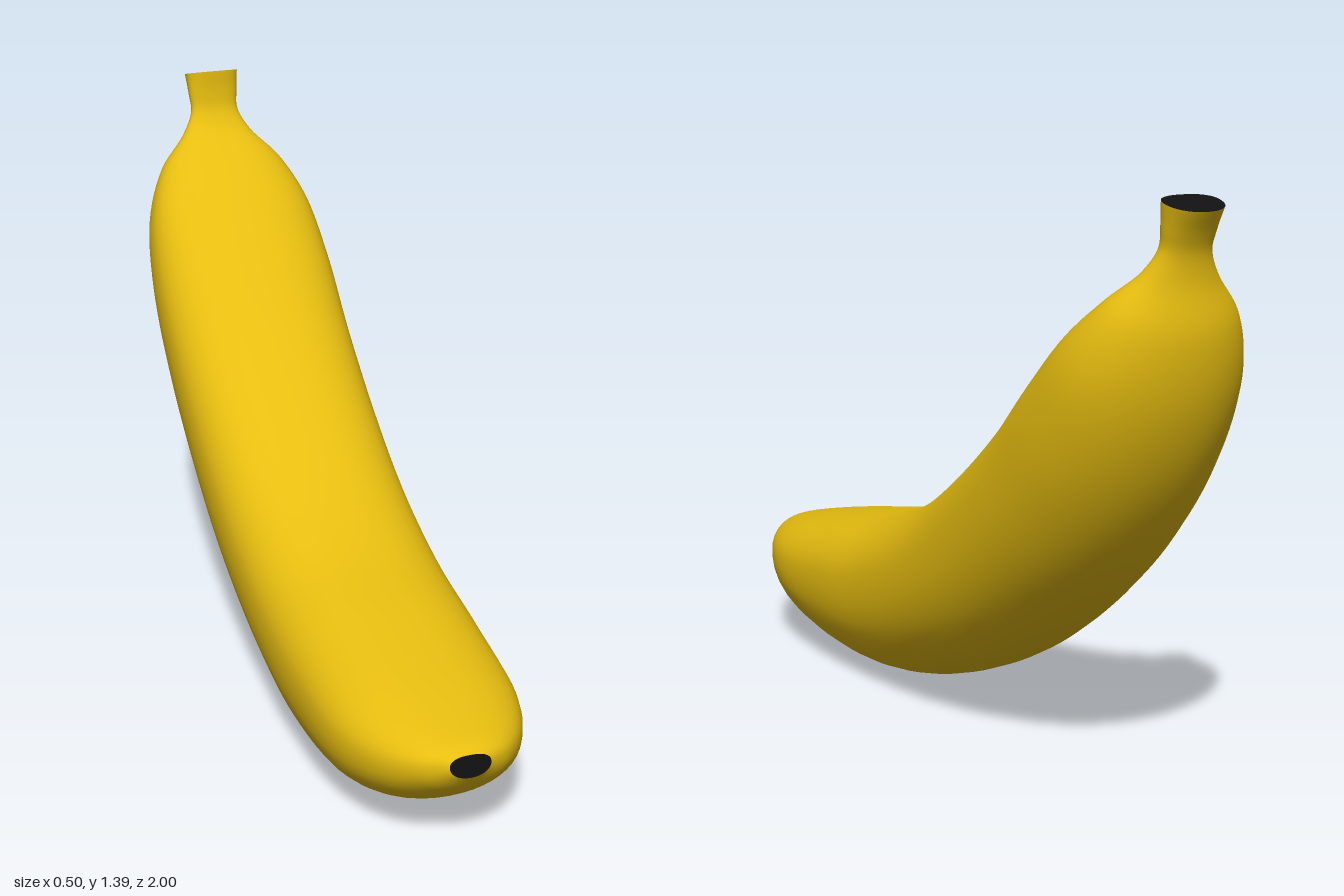
import * as THREE from 'three';

// Stations from blossom tip to stem: [upper z, upper y, lower z, lower y, half width]
const STATIONS = [
  [0.99, 0.288, 1.0, 0.235, 0.05],
  [0.955, 0.303, 0.955, 0.18, 0.115],
  [0.88, 0.322, 0.86, 0.105, 0.18],
  [0.75, 0.352, 0.7, 0.04, 0.232],
  [0.5, 0.405, 0.4, 0.003, 0.25],
  [0.25, 0.46, 0.12, 0.04, 0.25],
  [0, 0.56, -0.2, 0.16, 0.25],
  [-0.2, 0.685, -0.45, 0.312, 0.25],
  [-0.4, 0.835, -0.68, 0.51, 0.25],
  [-0.57, 0.99, -0.84, 0.72, 0.246],
  [-0.7, 1.105, -0.93, 0.92, 0.222],
  [-0.8, 1.18, -0.957, 1.08, 0.168],
  [-0.865, 1.235, -0.945, 1.2, 0.095],
  [-0.893, 1.285, -0.95, 1.265, 0.066],
  [-0.9, 1.335, -0.968, 1.31, 0.068],
  [-0.9, 1.39, -0.999, 1.362, 0.073],
];
const RINGS = 90;
const SIDES = 40;

// One cross-section: flatter on the upper side, rounder below
function ring(upper, lower) {
  const points = [];
  const middle = lower.clone().lerp(upper, 0.57).setX(0);
  const top = upper.clone().setX(0);
  for (let j = 0; j < SIDES; j++) {
    const a = (j / SIDES) * Math.PI * 2;
    const c = Math.cos(a), s = Math.sin(a);
    const power = s > 0 ? 0.82 : 0.95;
    const p = middle.clone().lerp(s > 0 ? top : lower, Math.abs(s) ** power);
    p.x = Math.sign(c) * Math.abs(c) ** power * upper.x;
    points.push(p);
  }
  return points;
}

function surface(points, index) {
  const geometry = new THREE.BufferGeometry().setFromPoints(points);
  geometry.setIndex(index);
  geometry.computeVertexNormals();
  return geometry;
}

// Flat end closing a ring
function capGeometry(points, flip) {
  const centre = points.reduce((sum, p) => sum.add(p), new THREE.Vector3()).divideScalar(SIDES);
  const index = [];
  for (let j = 0; j < SIDES; j++) {
    const k = (j + 1) % SIDES;
    index.push(SIDES, flip ? k : j, flip ? j : k);
  }
  return surface([...points, centre], index);
}

export function createModel() {
  const group = new THREE.Group();
  group.name = 'banana';
  const peelMaterial = new THREE.MeshStandardMaterial({ color: 0xe6bd10 });
  const endMaterial = new THREE.MeshStandardMaterial({ color: 0x111111 });

  const add = (name, geometry, material) => {
    const mesh = new THREE.Mesh(geometry, material);
    mesh.name = name;
    group.add(mesh);
  };

  // Upper curve carries the half width in x
  const upper = new THREE.CatmullRomCurve3(STATIONS.map(([z, y, , , w]) => new THREE.Vector3(w, y, z)));
  const lower = new THREE.CatmullRomCurve3(STATIONS.map(([, , z, y]) => new THREE.Vector3(0, y, z)));
  const rings = [];
  for (let i = 0; i <= RINGS; i++) {
    rings.push(ring(upper.getPoint(i / RINGS), lower.getPoint(i / RINGS)));
  }

  // Peel lofted through the rings
  const index = [];
  for (let i = 0; i < RINGS; i++) {
    for (let j = 0; j < SIDES; j++) {
      const k = (j + 1) % SIDES;
      const a = i * SIDES + j, b = i * SIDES + k;
      index.push(a, a + SIDES, b, b, a + SIDES, b + SIDES);
    }
  }
  add('peel', surface(rings.flat(), index), peelMaterial);

  // Dark ends
  add('blossomEnd', capGeometry(rings[0], false), endMaterial);
  add('stemEnd', capGeometry(rings[RINGS], true), endMaterial);
  return group;
}
